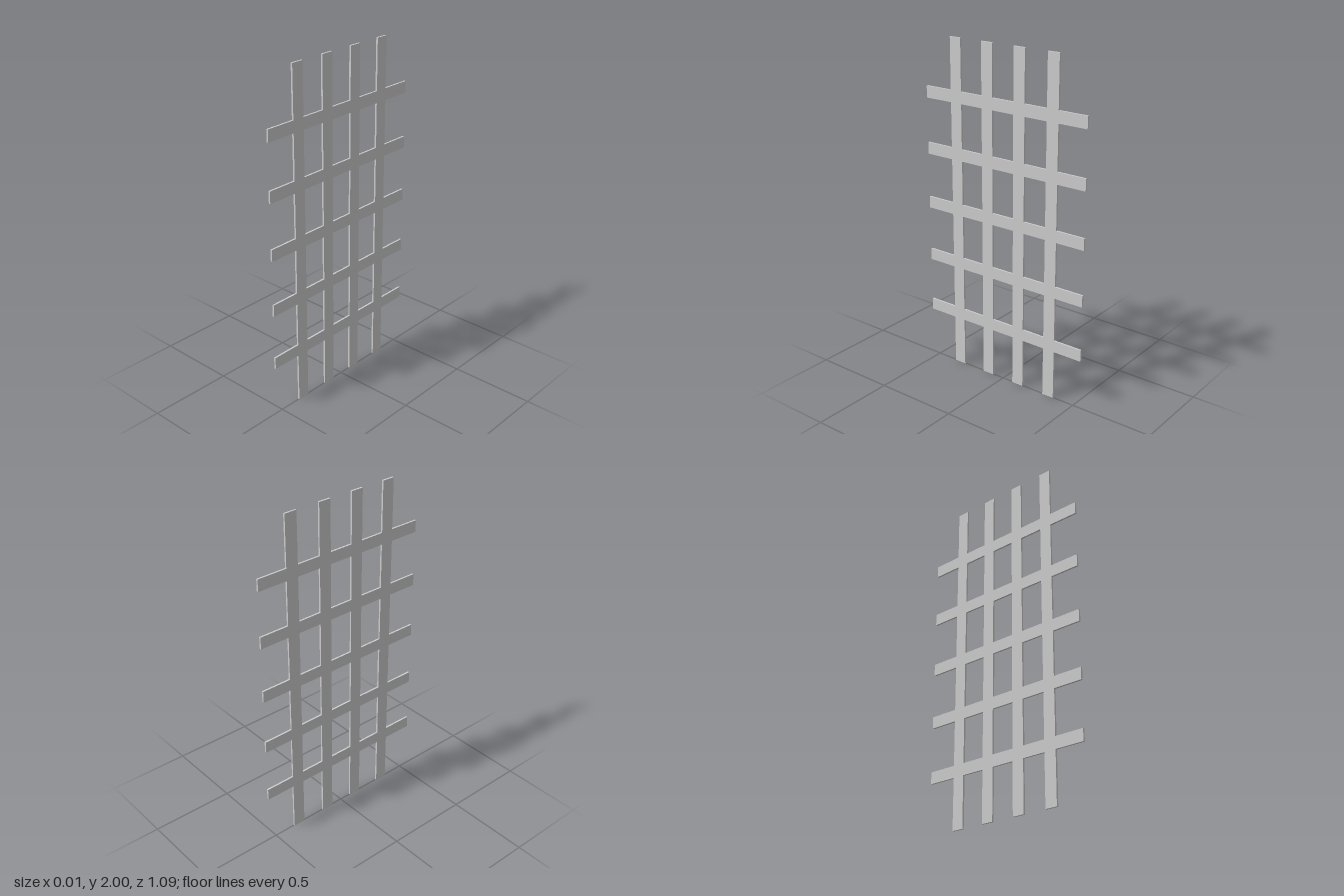
import * as THREE from 'three';

const THICK = 0.011;
const HEIGHT = 2, SLAT_W = 0.074;
const RAIL_LEN = 1.09, RAIL_H = 0.07;
const SLATS = [-0.328, -0.109, 0.109, 0.328]; // z centres
const RAIL_COUNT = 5;

export function createModel() {
  const group = new THREE.Group();
  group.name = 'lattice';
  const material = new THREE.MeshStandardMaterial({ color: 0xcccccc });

  const addBar = (parent, name, height, y, z0, z1) => {
    const bar = new THREE.Mesh(new THREE.BoxGeometry(THICK, height, z1 - z0), material);
    bar.name = name;
    bar.position.set(0, y, (z0 + z1) / 2);
    parent.add(bar);
  };

  // Upright slats
  SLATS.forEach((z, i) => {
    addBar(group, `slat${i + 1}`, HEIGHT, HEIGHT / 2, z - SLAT_W / 2, z + SLAT_W / 2);
  });

  // Cross rails, flush with the slats: each fills the gaps and overhangs both ends
  const edges = [
    -RAIL_LEN / 2,
    ...SLATS.flatMap((z) => [z - SLAT_W / 2, z + SLAT_W / 2]),
    RAIL_LEN / 2,
  ];
  for (let r = 1; r <= RAIL_COUNT; r++) {
    const rail = new THREE.Group();
    rail.name = `rail${r}`;
    const y = (HEIGHT * r) / (RAIL_COUNT + 1);
    for (let i = 0; i < edges.length; i += 2) {
      addBar(rail, `railSegment${i / 2 + 1}`, RAIL_H, y, edges[i], edges[i + 1]);
    }
    group.add(rail);
  }
  return group;
}
